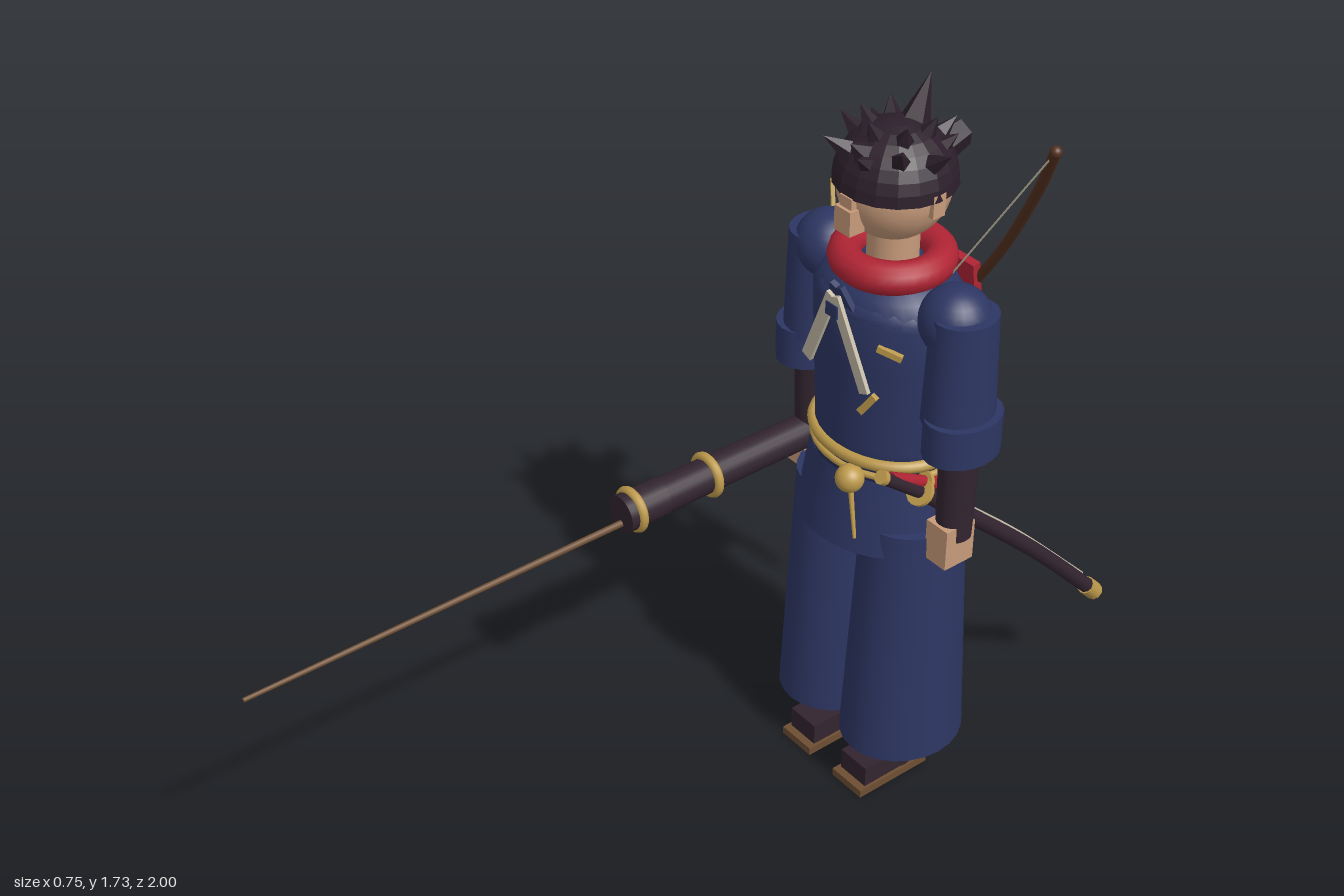
import * as THREE from 'three';

const mat = (name, color, side = THREE.FrontSide) => {
  const m = new THREE.MeshStandardMaterial({ color, side });
  m.name = name;
  return m;
};
const V = (x, y, z) => new THREE.Vector3(x, y, z);
const CZ = -0.45; // body axis

export function createModel() {
  const root = new THREE.Group();
  root.name = 'swordsman';
  const navy = mat('navy cloth', 0x2d3663, THREE.DoubleSide);
  const dark = mat('dark plum', 0x32242f);
  const skin = mat('skin', 0xc79b7b);
  const red = mat('red cloth', 0xb02434);
  const gold = mat('gold', 0xbd9a4c);
  const wood = mat('wood', 0x6e4e33);
  const brown = mat('dark brown', 0x54301f);
  const cream = mat('cream', 0xc6bda8);
  const hairMat = mat('hair', 0x2c1f2b);
  hairMat.flatShading = true;

  const add = (name, geo, m, x = 0, y = 0, z = 0, rx = 0, ry = 0, rz = 0, parent = root) => {
    const mesh = new THREE.Mesh(geo, m);
    mesh.name = name;
    mesh.position.set(x, y, z);
    mesh.rotation.set(rx, ry, rz);
    parent.add(mesh);
    return mesh;
  };
  const box = (w, h, d) => new THREE.BoxGeometry(w, h, d);
  const cyl = (rt, rb, h, n = 20) => new THREE.CylinderGeometry(rt, rb, h, n);
  const ball = (r) => new THREE.SphereGeometry(r, 24, 16);
  // tapered rod between two points
  const rod = (name, m, a, b, ra, rb = ra, n = 10) => {
    const mid = a.clone().add(b).multiplyScalar(0.5);
    const mesh = add(name, cyl(rb, ra, a.distanceTo(b), n), m, mid.x, mid.y, mid.z);
    mesh.quaternion.setFromUnitVectors(V(0, 1, 0), b.clone().sub(a).normalize());
    return mesh;
  };

  // legs, feet, trousers, sleeves, arms and hands
  for (const s of [-1, 1]) {
    const side = s > 0 ? 'left' : 'right';
    add(side + 'Sole', box(0.1, 0.02, 0.205), wood, s * 0.092, 0.01, -0.408);
    add(side + 'Foot', box(0.085, 0.055, 0.17), dark, s * 0.092, 0.047, -0.41);
    add(side + 'Shin', cyl(0.047, 0.045, 0.2), dark, s * 0.092, 0.12, CZ);
    add(side + 'TrouserLeg', cyl(0.1, 0.125, 0.62, 24), navy, s * 0.11, 0.45, CZ)
      .scale.set(1.07, 1, 1.2);
    add(side + 'Shoulder', ball(0.078), navy, s * 0.195, 1.285, CZ);
    add(side + 'Sleeve', cyl(0.066, 0.074, 0.25), navy, s * 0.222, 1.19, CZ).scale.z = 1.12;
    add(side + 'Cuff', cyl(0.073, 0.073, 0.092), navy, s * 0.238, 1.038, CZ).scale.z = 1.25;
    add(side + 'Forearm', cyl(0.042, 0.038, 0.24), dark, s * 0.235, 0.89, CZ).scale.z = 1.1;
    add(side + 'Hand', box(0.064, 0.1, 0.08), skin, s * 0.235, 0.76, -0.44);
    add(side + 'Ear', box(0.016, 0.05, 0.032), skin, s * 0.12, 1.515, CZ);
  }

  // jacket body and skirt flap
  const jacket = [[0, 0.86], [0.168, 0.86], [0.168, 0.95], [0.178, 1.15], [0.182, 1.26], [0.155, 1.31], [0.09, 1.345], [0, 1.345]];
  add('jacket', new THREE.LatheGeometry(jacket.map((p) => new THREE.Vector2(...p)), 28), navy, 0, 0, CZ).scale.z = 0.8;
  add('jacketHem', new THREE.CylinderGeometry(0.17, 0.2, 0.18, 28, 1, true), navy, 0, 0.79, CZ).scale.z = 0.86;
  add('yoke', ball(0.16), navy, 0, 1.265, CZ).scale.set(1.1, 0.42, 0.9);
  for (const s of [-1, 1]) {
    add('collarTie', box(0.028, 0.215, 0.009), cream, s * 0.048, 1.21, -0.3, 0.07, 0, s * 0.42);
    add('collarFold', box(0.03, 0.06, 0.012), navy, s * 0.014, 1.3, -0.312, 0.3, 0, s * 0.4);
  }
  add('collarKnot', box(0.035, 0.03, 0.02), navy, 0, 1.275, -0.297);
  add('upperClasp', box(0.055, 0.014, 0.012), gold, 0.125, 1.213, -0.34, 0, 0.5, -0.25);
  add('lowerClasp', box(0.016, 0.06, 0.012), gold, 0.09, 1.08, -0.318, 0, 0.3, -0.6);

  // rope belt with knot and tassel
  for (const [y, r] of [[0.922, 0.014], [0.892, 0.008]]) {
    add('beltRope', new THREE.TorusGeometry(0.17, r, 8, 40), gold, 0, y, CZ, Math.PI / 2).scale.y = 0.82;
  }
  add('beltKnot', ball(0.032), gold, 0.062, 0.882, -0.302);
  rod('tassel', gold, V(0.075, 0.86, -0.295), V(0.104, 0.755, -0.285), 0.006, 0.004);

  // scarf and its two hanging tails
  add('scarf', new THREE.TorusGeometry(0.1, 0.036, 12, 32), red, 0, 1.35, CZ, Math.PI / 2);
  add('longScarfTail', box(0.088, 0.435, 0.02), red, 0.03, 1.08, -0.652, 0.145);
  add('shortScarfTail', box(0.066, 0.33, 0.02), red, -0.057, 1.145, -0.63, 0.09);

  // head and face
  add('neck', cyl(0.055, 0.055, 0.12), skin, 0, 1.39, CZ);
  add('head', ball(0.12), skin, 0, 1.522, -0.445);
  add('nose', box(0.048, 0.055, 0.04), skin, 0, 1.475, -0.328);
  add('noseBridge', box(0.036, 0.03, 0.025), skin, 0, 1.512, -0.328);
  add('cheekMark', box(0.011, 0.055, 0.008), gold, -0.067, 1.5, -0.34, 0, -0.55, 0.4);

  // hair cap and spikes
  const hair = new THREE.Group();
  hair.name = 'hair';
  hair.position.set(0, 1.525, -0.447);
  root.add(hair);
  add('hairCap', new THREE.SphereGeometry(0.13, 18, 8, 0, Math.PI * 2, 0, Math.PI / 2), hairMat, 0, 0, 0, 0, 0, 0, hair);
  add('hairBase', new THREE.CircleGeometry(0.13, 18), hairMat, 0, 0, 0, Math.PI / 2, 0, 0, hair);
  const spike = (az, el, len, r = 0.032, tip = 0) => {
    const d = V(Math.sin(az) * Math.cos(el), Math.sin(el), Math.cos(az) * Math.cos(el));
    const p = d.clone().multiplyScalar(0.1 + len / 2);
    add('hairSpike', cyl(tip, r, len, 5), hairMat, p.x, p.y, p.z, 0, 0, 0, hair)
      .quaternion.setFromUnitVectors(V(0, 1, 0), d);
  };
  for (let i = 0; i < 9; i++) spike(i * 0.7 + 0.2, 0.62 + 0.12 * (i % 2), 0.062 + 0.012 * (i % 3));
  for (let i = 0; i < 6; i++) spike(i * 1.05, 1.08, 0.07);
  spike(Math.PI, 1.2, 0.125, 0.04);
  spike(Math.PI, 0.25, 0.085, 0.04, 0.03);
  spike(0, 0.75, 0.07, 0.04);

  // long gun carried under the right arm
  const gx = -0.235;
  const gy = 0.788;
  add('gunStock', box(0.056, 0.076, 0.24), brown, gx, 0.743, -0.56);
  rod('gunBarrel', dark, V(gx, gy, -0.47), V(gx, gy, -0.02), 0.04, 0.041, 20);
  rod('gunMuzzle', dark, V(gx, gy, -0.02), V(gx, gy, 0.085), 0.044, 0.044, 20);
  for (const z of [0.055, -0.15]) {
    add('gunBand', new THREE.TorusGeometry(0.043, 0.011, 10, 28), gold, gx, gy, z);
  }
  rod('ramrod', wood, V(gx, 0.764, 0.07), V(gx, 0.76, 1), 0.008, 0.005);

  // bow slung across the back
  const bow = new THREE.CatmullRomCurve3([
    V(0.365, 1.715, -0.51), V(0.27, 1.57, -0.575), V(0.14, 1.36, -0.622), V(0, 1.16, -0.641),
    V(-0.14, 0.95, -0.622), V(-0.27, 0.745, -0.575), V(-0.365, 0.602, -0.51)]);
  add('bow', new THREE.TubeGeometry(bow, 40, 0.0115, 8), brown);
  for (const t of [0, 1]) add('bowTip', ball(0.0125), brown, ...bow.getPoint(t).toArray());
  rod('bowString', cream, bow.getPoint(0), bow.getPoint(1), 0.002, 0.002, 6);
  const grip = new THREE.CatmullRomCurve3([0.46, 0.5, 0.54].map((t) => bow.getPoint(t)));
  add('bowGrip', new THREE.TubeGeometry(grip, 8, 0.015, 8), brown);

  // long sword at the left hip
  const sheath = new THREE.CatmullRomCurve3([
    V(0.185, 0.87, -0.4), V(0.186, 0.765, -0.52), V(0.188, 0.56, -0.745), V(0.19, 0.335, -0.965)]);
  add('sheath', new THREE.TubeGeometry(sheath, 24, 0.019, 10), dark);
  const stripe = new THREE.CatmullRomCurve3([0.3, 0.6, 0.94].map((t) => sheath.getPoint(t).add(V(-0.004, 0.012, -0.013))));
  add('sheathStripe', new THREE.TubeGeometry(stripe, 16, 0.004, 6), cream);
  rod('sheathTip', gold, V(0.19, 0.348, -0.952), V(0.19, 0.313, -0.985), 0.022, 0.022);
  rod('swordHandle', dark, V(0.185, 0.87, -0.4), V(0.185, 0.96, -0.285), 0.015, 0.014);
  rod('swordGuard', gold, V(0.185, 0.872, -0.397), V(0.185, 0.879, -0.389), 0.032, 0.032, 16);
  rod('swordPommel', gold, V(0.185, 0.958, -0.288), V(0.185, 0.967, -0.276), 0.016, 0.016);

  // short sword tucked beside it
  rod('shortSwordHandle', red, V(0.178, 0.885, -0.42), V(0.178, 0.945, -0.31), 0.014, 0.014);
  rod('shortSwordSheath', red, V(0.175, 0.885, -0.42), V(0.175, 0.835, -0.51), 0.015, 0.015);
  rod('shortSwordGuard', gold, V(0.178, 0.888, -0.415), V(0.178, 0.892, -0.407), 0.024, 0.024, 16);

  return root;
}
